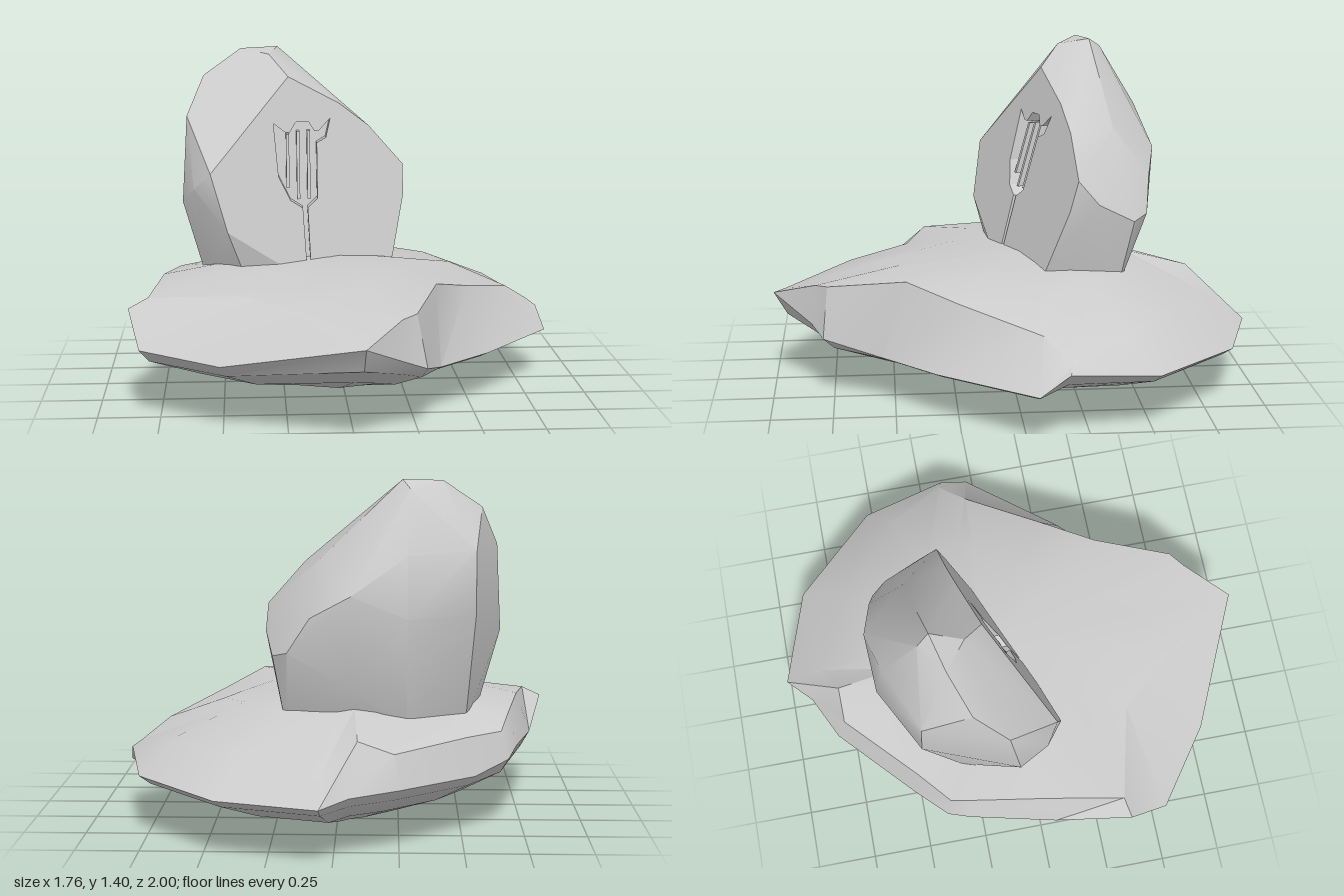
import * as THREE from 'three';
import { toCreasedNormals } from 'three/addons/utils/BufferGeometryUtils.js';
import { ConvexGeometry } from 'three/addons/geometries/ConvexGeometry.js';

const material = new THREE.MeshStandardMaterial({ color: 0xcccccc });

function mesh(name, geometry) {
  const m = new THREE.Mesh(geometry, material);
  m.name = name;
  return m;
}

// Skins equal-length rings of points, listed from bottom to top.
function loft(rings) {
  const out = [];
  const tri = (a, b, c) => {
    const area = new THREE.Triangle(a, b, c).getArea();
    if (area > 1e-7) [a, b, c].forEach((p) => out.push(p.x, p.y, p.z));
  };
  for (let i = 0; i < rings.length - 1; i++) {
    const n = rings[i].length;
    for (let j = 0; j < n; j++) {
      const k = (j + 1) % n;
      const a = rings[i][j], b = rings[i][k], c = rings[i + 1][j], d = rings[i + 1][k];
      tri(a, c, b);
      tri(b, c, d);
    }
  }
  const g = new THREE.BufferGeometry();
  g.setAttribute('position', new THREE.Float32BufferAttribute(out, 3));
  return toCreasedNormals(g, 0.5);
}

// Broad flat rock: each entry is a rim point and the edge of the top above it.
function createBase() {
  const outline = [
    [0.05, 0.23, -1, 0.04, 0.34, -0.84], [0.45, 0.23, -0.87, 0.36, 0.38, -0.68],
    [0.78, 0.24, -0.52, 0.66, 0.37, -0.43], [0.86, 0.28, -0.16, 0.82, 0.31, -0.17],
    [0.88, 0.2, -0.04, 0.71, 0.39, -0.07], [0.58, 0.2, 0.34, 0.5, 0.46, 0.24],
    [0.36, 0.2, 0.55, 0.35, 0.515, 0.45], [0.28, 0.26, 0.79, 0.24, 0.47, 0.77],
    [0.19, 0.3, 0.84, 0.18, 0.46, 0.82], [0.03, 0.39, 1, 0, 0.4, 0.95],
    [-0.51, 0.27, 0.76, -0.2, 0.46, 0.68], [-0.83, 0.28, 0.53, -0.42, 0.47, 0.43],
    [-0.88, 0.41, 0.36, -0.8, 0.45, 0.34], [-0.81, 0.31, 0.05, -0.75, 0.48, 0.03],
    [-0.73, 0.33, -0.31, -0.69, 0.45, -0.29], [-0.69, 0.29, -0.4, -0.66, 0.4, -0.38],
    [-0.55, 0.25, -0.53, -0.52, 0.4, -0.5], [-0.25, 0.26, -0.81, -0.23, 0.39, -0.77],
    [-0.06, 0.25, -0.9, -0.09, 0.44, -0.77],
  ];
  const rim = outline.map((p) => new THREE.Vector3(p[0], p[1], p[2]));
  const edge = outline.map((p) => new THREE.Vector3(p[3], p[4], p[5]));
  const cx = -0.05, cz = -0.1;
  const shrink = (ring, s, height) => ring.map((p) =>
    new THREE.Vector3(cx + (p.x - cx) * s, height(p.y), cz + (p.z - cz) * s));
  return loft([
    shrink(rim, 0, () => 0),
    shrink(rim, 0.3, (y) => 0.02 + (y - 0.2) * 0.05),
    shrink(rim, 0.7, (y) => 0.1 + (y - 0.2) * 0.4),
    shrink(rim, 0.95, (y) => 0.18 + (y - 0.2) * 0.6),
    rim,
    edge,
    shrink(edge, 0.6, (y) => 0.42 + y * 0.21),
    shrink(edge, 0, () => 0.54),
  ]);
}

// Plane of the boulder's split front face.
const faceZ = (x, y) => 0.106 - 0.42 * x - 0.27 * y;

// Lays a flat geometry onto the split face, shifted along z.
function layOnFace(g, offset) {
  const p = g.attributes.position;
  for (let i = 0; i < p.count; i++) {
    p.setZ(i, p.getZ(i) + offset + faceZ(p.getX(i), p.getY(i)));
  }
  g.computeVertexNormals();
  return g;
}

const toShape = (pts, hole) => {
  const shape = new THREE.Shape(pts.map(([x, y]) => new THREE.Vector2(x, y)));
  if (hole) shape.holes.push(toShape(hole));
  return shape;
};

function createBoulder() {
  const group = new THREE.Group();
  group.name = 'boulder';
  const face = [
    [-0.22, 1.29], [-0.55, 0.91], [-0.48, 0.67], [-0.11, 0.42], [0.2, 0.42],
    [0.23, 0.53], [0.28, 0.77], [0.28, 0.9], [0.13, 1.07], [0, 1.17],
  ];
  const body = [
    [-0.41, 0.5, 0.08], [-0.39, 0.42, 0.06], [-0.62, 0.84, 0.04],
    [-0.67, 0.77, -0.08], [-0.57, 0.42, -0.1], [-0.65, 1.13, -0.12],
    [-0.58, 1.29, -0.25], [-0.42, 1.4, -0.32], [-0.26, 1.405, -0.36],
    [-0.3, 1.38, -0.23], [-0.29, 1.37, -0.41], [-0.12, 1.27, -0.35],
    [0.08, 1.08, -0.42], [-0.55, 1.13, -0.45], [-0.28, 1.12, -0.56],
    [-0.06, 0.97, -0.61], [0.1, 0.88, -0.57], [0.19, 0.74, -0.55],
    [0.25, 0.72, -0.49], [0.285, 0.8, -0.34], [-0.06, 0.6, -0.56],
    [0.2, 0.42, -0.43], [-0.28, 0.42, -0.47], [-0.52, 0.42, -0.3],
    [-0.55, 0.88, -0.46], [-0.28, 0.88, -0.6],
  ];
  const points = [...face.map(([x, y]) => [x, y, faceZ(x, y)]), ...body]
    .map((p) => new THREE.Vector3(...p));

  // Rounded back and sides, left open at the split face.
  const hull = new ConvexGeometry(points).attributes.position;
  const kept = [];
  for (let i = 0; i < hull.count; i += 3) {
    const tri = [0, 1, 2].map((k) => new THREE.Vector3().fromBufferAttribute(hull, i + k));
    if (tri.every((p) => Math.abs(p.z - faceZ(p.x, p.y)) < 1e-4)) continue;
    tri.forEach((p) => kept.push(p.x, p.y, p.z));
  }
  const shell = new THREE.BufferGeometry();
  shell.setAttribute('position', new THREE.Float32BufferAttribute(kept, 3));
  group.add(mesh('boulderBody', toCreasedNormals(shell, 0.5)));

  // Split face with a pronged slot and the crack running down from it.
  const slot = [
    [-0.285, 1.1], [-0.235, 1.06], [-0.215, 1.06], [-0.19, 1.1], [-0.135, 1.1],
    [-0.11, 1.06], [-0.09, 1.06], [-0.04, 1.11], [-0.06, 1.03], [-0.1, 1.01],
    [-0.1, 0.78], [-0.142, 0.745], [-0.132, 0.5], [-0.148, 0.5], [-0.163, 0.745],
    [-0.215, 0.78], [-0.265, 0.88],
  ];
  const surround = [
    [-0.32, 1.14], [-0.32, 0.8], [-0.18, 0.49], [-0.1, 0.49], [0, 0.8], [0, 1.14],
  ];
  const depth = 0.06;
  group.add(mesh('splitFace', layOnFace(new THREE.ShapeGeometry(toShape(face, slot)), 0)));
  const walls = new THREE.ExtrudeGeometry(toShape(surround, slot), { depth, bevelEnabled: false });
  group.add(mesh('slotWalls', layOnFace(walls, -depth - 0.001)));
  group.add(mesh('slotFloor', layOnFace(new THREE.ShapeGeometry(toShape(slot)), -depth)));

  // Narrow ridges inside the slot.
  for (const [x, y, h] of [[-0.225, 0.94, 0.22], [-0.18, 0.92, 0.28], [-0.135, 0.92, 0.28]]) {
    const ridge = new THREE.BoxGeometry(0.013, h, 0.045).translate(x, y, 0);
    group.add(mesh('slotRidge', layOnFace(ridge, -depth + 0.02)));
  }
  return group;
}

export function createModel() {
  const model = new THREE.Group();
  model.name = 'splitBoulder';
  model.add(mesh('flatBaseRock', createBase()), createBoulder());
  return model;
}
